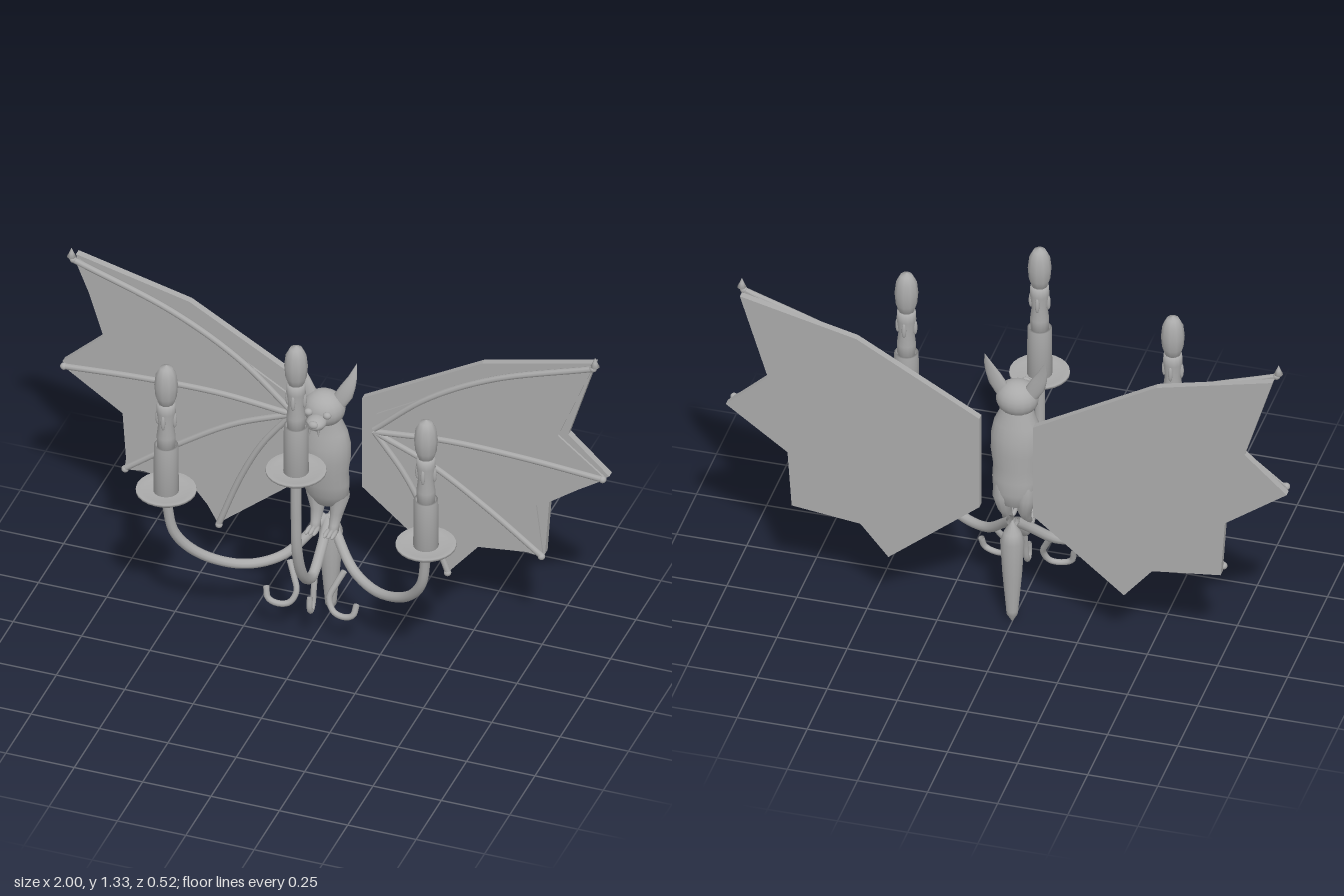
import * as THREE from 'three';

const iron = new THREE.MeshStandardMaterial({ color: 0xaaaaaa });
iron.name = 'grey iron';
iron.side = THREE.DoubleSide;

const V = (p) => new THREE.Vector3(...p);

function add(parent, name, geometry, x = 0, y = 0, z = 0) {
  const mesh = new THREE.Mesh(geometry, iron);
  mesh.name = name;
  mesh.position.set(x, y, z);
  parent.add(mesh);
  return mesh;
}

const lathe = (pts, n = 16) => new THREE.LatheGeometry(pts.map(p => new THREE.Vector2(...p)), n);

const tube = (pts, r, seg = 24, sides = 8) =>
  new THREE.TubeGeometry(new THREE.CatmullRomCurve3(pts.map(V)), seg, r, sides);

function ball(parent, name, pos, scale) {
  const m = add(parent, name, new THREE.SphereGeometry(1, 18, 12), ...pos);
  m.scale.set(...scale);
}

// Horizontal elliptic rings [x, y, z, rx, rz], listed from bottom to top
function loft(rings, n = 16) {
  const pos = [], idx = [];
  rings.forEach(([x, y, z, rx, rz], i) => {
    for (let j = 0; j < n; j++) {
      const a = j / n * Math.PI * 2;
      pos.push(x + rx * Math.cos(a), y, z + rz * Math.sin(a));
      if (i === 0) continue;
      const k = (j + 1) % n, a0 = (i - 1) * n + j, b0 = (i - 1) * n + k;
      idx.push(a0, a0 + n, b0, b0, a0 + n, b0 + n);
    }
  });
  const g = new THREE.BufferGeometry();
  g.setAttribute('position', new THREE.Float32BufferAttribute(pos, 3));
  g.setIndex(idx);
  g.computeVertexNormals();
  return g;
}

function plate(outline, s, depth) {
  const shape = new THREE.Shape(outline.map(([x, y]) => new THREE.Vector2(x * s, y)));
  return new THREE.ExtrudeGeometry(shape, { depth, bevelEnabled: false });
}

const backOutline = [[0.096, 0.88], [0.535, 1.13], [0.95, 1.23], [0.85, 0.91], [1, 0.77],
  [0.78, 0.61], [0.765, 0.39], [0.52, 0.36], [0.42, 0.24], [0.096, 0.51]];
const frontOutline = [[0.155, 0.84], [0.5, 1.05], [0.95, 1.23], [0.82, 0.91], [0.995, 0.77],
  [0.74, 0.6], [0.765, 0.39], [0.52, 0.42], [0.42, 0.24], [0.355, 0.36], [0.295, 0.46], [0.155, 0.54]];
const ribPaths = [
  [[0.15, 0.78], [0.34, 0.95], [0.58, 1.09], [0.955, 1.225]],
  [[0.15, 0.77], [0.42, 0.795], [0.7, 0.79], [0.99, 0.77]],
  [[0.15, 0.77], [0.36, 0.68], [0.56, 0.55], [0.765, 0.395]],
  [[0.15, 0.77], [0.26, 0.62], [0.34, 0.46], [0.42, 0.245]]];

function wing(s) {
  const g = new THREE.Group();
  g.name = s > 0 ? 'leftWing' : 'rightWing';
  add(g, 'wingBack', plate(backOutline, s, 0.026), 0, 0, -0.263);
  add(g, 'wingMembrane', plate(frontOutline, s, 0.008), 0, 0, -0.224);
  for (const path of ribPaths) {
    add(g, 'wingRib', tube(path.map(([x, y]) => [x * s, y, -0.212]), 0.011));
    const [x, y] = path[path.length - 1];
    ball(g, 'ribEnd', [x * s * 0.995, y, -0.212], [0.013, 0.013, 0.013]);
  }
  // Small spade point on the upper tip
  add(g, 'wingClaw', lathe([[0, 0], [0.016, 0.012], [0.008, 0.03], [0, 0.05]], 8), 0.957 * s, 1.222, -0.212);
  return g;
}

// Drip dish, candle sleeve, narrow stem and flame bulb; y = 0 is the dish rim
function candle(x, y, z) {
  const g = new THREE.Group();
  g.name = 'candle';
  g.position.set(x, y, z);
  add(g, 'dripDish', lathe([[0, -0.048], [0.03, -0.045], [0.06, -0.033], [0.08, -0.015], [0.105, 0],
    [0.104, 0.008], [0.08, 0.002], [0.045, 0], [0, 0]], 24));
  add(g, 'candleSleeve', lathe([[0, 0], [0.044, 0], [0.042, 0.19], [0.034, 0.19], [0.034, 0.17], [0, 0.17]], 20));
  add(g, 'candleStem', lathe([[0, 0.17], [0.031, 0.17], [0.033, 0.23], [0.027, 0.28], [0.034, 0.33],
    [0.032, 0.365], [0, 0.37]], 14));
  add(g, 'flameBulb', lathe([[0, 0.345], [0.024, 0.355], [0.037, 0.395], [0.041, 0.44], [0.036, 0.485],
    [0.022, 0.512], [0, 0.522]], 10));
  // Wax drips
  for (let i = 0; i < 4; i++) {
    const a = Math.PI / 2 + i * Math.PI / 2;
    ball(g, 'waxDrip', [Math.cos(a) * 0.031, 0.3, Math.sin(a) * 0.031], [0.008, 0.03, 0.008]);
  }
  return g;
}

function creature() {
  const g = new THREE.Group();
  g.name = 'bat';
  add(g, 'torso', loft([[0, 0.47, -0.16, 0, 0], [0, 0.48, -0.158, 0.05, 0.035], [0, 0.53, -0.15, 0.078, 0.052],
    [0, 0.58, -0.143, 0.083, 0.058], [0, 0.63, -0.138, 0.081, 0.06], [0, 0.69, -0.135, 0.09, 0.068],
    [0, 0.75, -0.133, 0.09, 0.066], [0, 0.8, -0.133, 0.08, 0.055], [0, 0.84, -0.13, 0.062, 0.048],
    [0, 0.9, -0.125, 0.05, 0.04]], 20));
  ball(g, 'head', [0, 0.895, -0.122], [0.075, 0.066, 0.068]);
  ball(g, 'snout', [0, 0.882, -0.045], [0.036, 0.024, 0.042]);
  ball(g, 'nose', [0, 0.89, -0.013], [0.018, 0.014, 0.013]);
  ball(g, 'jaw', [0, 0.862, -0.055], [0.026, 0.013, 0.032]);
  for (const s of [-1, 1]) {
    ball(g, 'eye', [s * 0.034, 0.908, -0.058], [0.015, 0.013, 0.013]);
    add(g, 'fang', lathe([[0, -0.02], [0.005, 0], [0.003, 0.02]], 6), s * 0.016, 0.857, -0.022);
    add(g, 'ear', loft([[s * 0.048, 0.91, -0.13, 0.028, 0.016], [s * 0.066, 0.95, -0.132, 0.034, 0.017],
      [s * 0.082, 0.99, -0.136, 0.027, 0.013], [s * 0.097, 1.03, -0.142, 0.016, 0.008],
      [s * 0.108, 1.082, -0.156, 0, 0]], 12));
    add(g, 'leg', loft([[s * 0.033, 0.38, -0.12, 0, 0], [s * 0.033, 0.385, -0.12, 0.02, 0.022],
      [s * 0.034, 0.41, -0.133, 0.018, 0.02], [s * 0.036, 0.45, -0.155, 0.024, 0.03],
      [s * 0.042, 0.51, -0.16, 0.036, 0.038], [s * 0.042, 0.56, -0.155, 0.03, 0.035]], 12));
    for (const t of [-1, 0, 1]) {
      ball(g, 'toe', [s * 0.033 + t * 0.014, 0.391, -0.093], [0.008, 0.009, 0.03]);
    }
  }
  return g;
}

export function createModel() {
  const root = new THREE.Group();
  root.name = 'batWallSconce';

  root.add(wing(1), wing(-1), creature());

  // Pointed tail the arms grow from
  add(root, 'tailSpike', lathe([[0, 0], [0.02, 0.035], [0.021, 0.05], [0.034, 0.2], [0.042, 0.34],
    [0.03, 0.375], [0, 0.425]], 14), 0, 0, -0.187);

  // Centre arm, candle and hook
  add(root, 'centreArm', tube([[0, 0.41, -0.175], [0, 0.32, -0.09], [0, 0.265, 0], [0, 0.33, 0.09],
    [0, 0.46, 0.145], [0, 0.62, 0.157], [0, 0.77, 0.158]], 0.019, 36, 10));
  root.add(candle(0, 0.81, 0.157));
  add(root, 'centreHook', tube([[0, 0.27, -0.035], [0, 0.21, -0.02], [0, 0.15, -0.008], [0, 0.13, 0.01],
    [0, 0.15, 0.023], [0, 0.19, 0.02]], 0.011));

  // Side arms, candles and hooks
  for (const s of [-1, 1]) {
    add(root, 'sideArm', tube([[s * 0.01, 0.41, -0.17], [s * 0.05, 0.36, -0.125], [s * 0.13, 0.285, -0.06],
      [s * 0.24, 0.268, 0.01], [s * 0.37, 0.325, 0.085], [s * 0.45, 0.43, 0.138],
      [s * 0.475, 0.575, 0.157]], 0.018, 36, 10));
    root.add(candle(s * 0.475, 0.615, 0.157));
    add(root, 'sideHook', tube([[s * 0.1, 0.28, -0.05], [s * 0.078, 0.235, -0.03], [s * 0.06, 0.185, -0.01],
      [s * 0.08, 0.143, 0.005], [s * 0.12, 0.135, 0.014], [s * 0.155, 0.15, 0.015],
      [s * 0.165, 0.19, 0.005]], 0.011));
  }
  return root;
}
